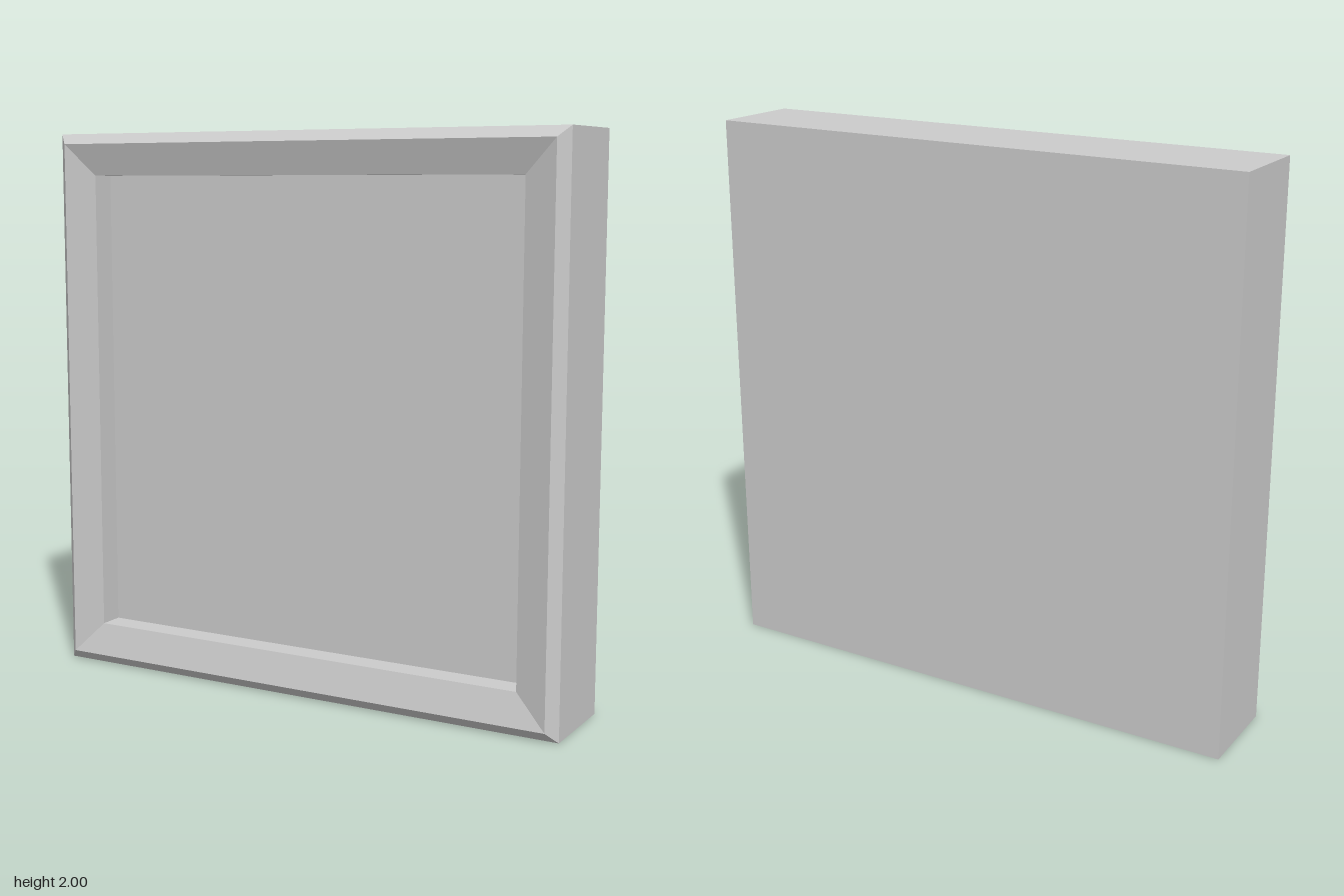
import * as THREE from 'three';

const INNER = 0.848, BACK = -0.188, PANEL_FRONT = 0.065;

// Sweeps a profile of [half width, z] points around a square.
function squareSweep(profile) {
  const points = profile.map(([half, z]) => new THREE.Vector2(half * Math.SQRT2, z));
  const geometry = new THREE.LatheGeometry(points, 4, Math.PI / 4).rotateX(Math.PI / 2).toNonIndexed();
  geometry.computeVertexNormals();
  return geometry;
}

export function createModel() {
  const group = new THREE.Group();
  group.name = 'framedPanel';
  const material = new THREE.MeshStandardMaterial({ color: 0xcccccc, flatShading: true });

  // Mitred frame: flat back, straight side, outer chamfer, inward slope, inner wall
  const frame = new THREE.Mesh(squareSweep([
    [INNER, BACK], [1, BACK], [1, 0.152], [0.963, 0.188], [INNER, 0.156], [INNER, PANEL_FRONT],
  ]), material);
  frame.name = 'frame';
  frame.position.y = 1;

  // Recessed panel filling the frame, flush at the back
  const panel = new THREE.Mesh(
    new THREE.BoxGeometry(2 * INNER, 2 * INNER, PANEL_FRONT - BACK), material);
  panel.name = 'panel';
  panel.position.set(0, 1, (PANEL_FRONT + BACK) / 2);

  group.add(frame, panel);
  return group;
}
